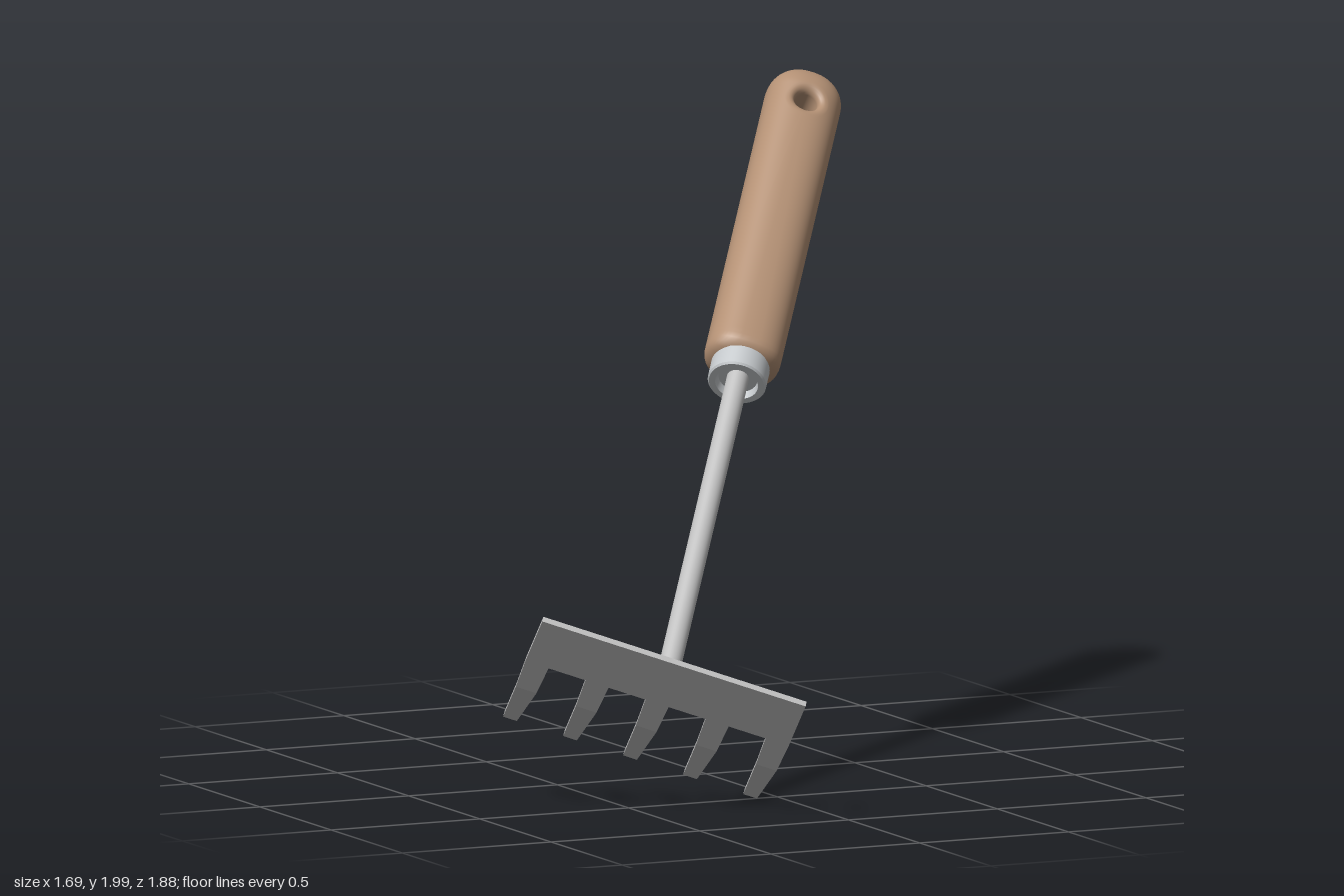
import * as THREE from 'three';

const V = (x, y, z) => new THREE.Vector3(x, y, z);

const metal = new THREE.MeshStandardMaterial({ color: 0xbfbfbf });
metal.name = 'steel';
const ferrule = new THREE.MeshStandardMaterial({ color: 0xc3c7ca });
ferrule.name = 'collar steel';
const wood = new THREE.MeshStandardMaterial({ color: 0xb39074 });
wood.name = 'wood';

function add(group, name, geometry, material) {
  const mesh = new THREE.Mesh(geometry, material);
  mesh.name = name;
  group.add(mesh);
  return mesh;
}

// Rake tine: flat bar that narrows to its tip and bends back toward the handle
function tineGeometry() {
  const bend = THREE.MathUtils.degToRad(20), half = 0.01, len = 0.25;
  const rows = [
    { w: 0.037, y: 0, z: -0.1, a: 0 },
    { w: 0.033, y: 0, z: -0.22, a: bend / 2 },
    { w: 0.022, y: len * Math.sin(bend), z: -0.22 - len * Math.cos(bend), a: bend },
  ];
  const geo = new THREE.BoxGeometry(2, 2, 2, 1, 1, 2).toNonIndexed();
  const p = geo.attributes.position;
  for (let i = 0; i < p.count; i++) {
    const r = rows[Math.round(1 - p.getZ(i))];
    const t = p.getY(i) * half;
    p.setXYZ(i, p.getX(i) * r.w, r.y + t * Math.cos(r.a), r.z + t * Math.sin(r.a));
  }
  geo.computeVertexNormals();
  return geo;
}

// Wooden grip: rings run from a rounded hanging hole out to the outline and back underneath
function gripGeometry() {
  const a = 0.117, b = 0.102, p = 2.3;                    // half width, half thickness, squareness
  const start = 1.32, startLen = 0.06, cap = 2.44, capLen = 0.112;
  const holeY = 2.385, holeR = 0.036, rim = 0.03;
  const scaleAt = (y) => {
    if (y > cap) return Math.sqrt(Math.max(0, 1 - ((y - cap) / capLen) ** 2));
    const t = (start + startLen - y) / startLen;
    return t > 0 ? Math.cbrt(Math.max(0, 1 - t ** 3)) : 1;
  };
  const height = (x, y) => {
    const k = scaleAt(y);
    if (k < 1e-4) return 0;
    return b * k * Math.max(0, 1 - (Math.abs(x) / (a * k)) ** p) ** (1 / p);
  };

  // Half outline from the tip down to the collar end, then mirrored
  const right = [];
  for (let i = 0; i < 16; i++) {
    const t = (i / 16) * Math.PI / 2;
    right.push([a * Math.sin(t), cap + capLen * Math.cos(t)]);
  }
  const a0 = Math.atan2(a, holeY - cap), a1 = Math.atan2(a, holeY - start - startLen);
  for (let i = 0; i < 28; i++) {
    const t = a0 + (a1 - a0) * i / 28;
    right.push([a, holeY - a / Math.tan(t)]);
  }
  for (let i = 0; i <= 12; i++) {
    const t = (i / 12) * Math.PI / 2;
    right.push([
      a * Math.max(0, Math.cos(t)) ** (2 / 3),
      start + startLen * (1 - Math.sin(t) ** (2 / 3)),
    ]);
  }
  const left = right.slice(1, -1).reverse().map(([x, y]) => [-x, y]);
  const outline = right.concat(left);

  const R = 6, F = 24, M = R + F, rings = 2 * M + 1, N = outline.length;
  const pos = [], index = [];
  for (const [ox, oy] of outline) {
    const dist = Math.hypot(ox, oy - holeY);
    const dx = ox / dist, dy = (oy - holeY) / dist;
    for (let j = 0; j < rings; j++) {
      const m = j <= M ? j : 2 * M - j;
      const q = m <= R
        ? rim * (1 - Math.cos((m / R) * Math.PI / 2))
        : rim + (dist - holeR - rim) * Math.sin(((m - R) / F) * Math.PI / 2);
      const x = dx * (holeR + q), y = holeY + dy * (holeR + q);
      const drop = q < rim ? rim - Math.sqrt(rim * rim - (rim - q) ** 2) : 0;
      const h = m === M ? 0 : height(x, y) - drop;
      pos.push(x, y, j <= M ? h : -h);
    }
  }
  for (let i = 0; i < N; i++) {
    for (let j = 0; j < rings; j++) {
      const i2 = (i + 1) % N, j2 = (j + 1) % rings;
      const A = i * rings + j, B = i * rings + j2, C = i2 * rings + j2, D = i2 * rings + j;
      index.push(A, C, B, A, D, C);
    }
  }
  const geo = new THREE.BufferGeometry();
  geo.setAttribute('position', new THREE.Float32BufferAttribute(pos, 3));
  geo.setIndex(index);
  geo.computeVertexNormals();
  return geo;
}

export function createModel() {
  const model = new THREE.Group();
  model.name = 'handRake';

  // Tool frame: x along the rake head, y along the shaft, z toward the head's top edge
  const tool = new THREE.Group();
  tool.name = 'tool';
  model.add(tool);
  const d = V(0.49, 0.6, -0.633).normalize();
  const n = V(0.867, -0.32, 0.38).cross(d).normalize();
  const u = d.clone().cross(n);
  tool.quaternion.setFromRotationMatrix(new THREE.Matrix4().makeBasis(u, d, n));
  tool.position.set(-0.473, 0.43, 0.71);

  // Rake head
  const head = new THREE.Group();
  head.name = 'rakeHead';
  tool.add(head);
  add(head, 'headPlate', new THREE.BoxGeometry(0.842, 0.02, 0.19), metal).position.z = -0.005;
  const tine = tineGeometry();
  for (let i = -2; i <= 2; i++) add(head, 'tine', tine, metal).position.x = i * 0.192;

  // Shaft
  add(tool, 'shaft', new THREE.CylinderGeometry(0.034, 0.034, 1.33, 32), metal).position.y = 0.67;

  // Collar with a recessed lower face, each edge kept sharp
  const section = [[0.034, 1.285], [0.06, 1.285], [0.066, 1.26], [0.085, 1.26], [0.09, 1.266],
    [0.09, 1.335], [0.034, 1.335]];
  const collar = new THREE.Group();
  collar.name = 'collar';
  tool.add(collar);
  for (let i = 0; i < section.length - 1; i++) {
    const pts = [section[i], section[i + 1]].map(([x, y]) => new THREE.Vector2(x, y));
    add(collar, 'collarFace', new THREE.LatheGeometry(pts, 48), ferrule);
  }

  // Handle grip
  add(tool, 'handleGrip', gripGeometry(), wood);
  return model;
}
